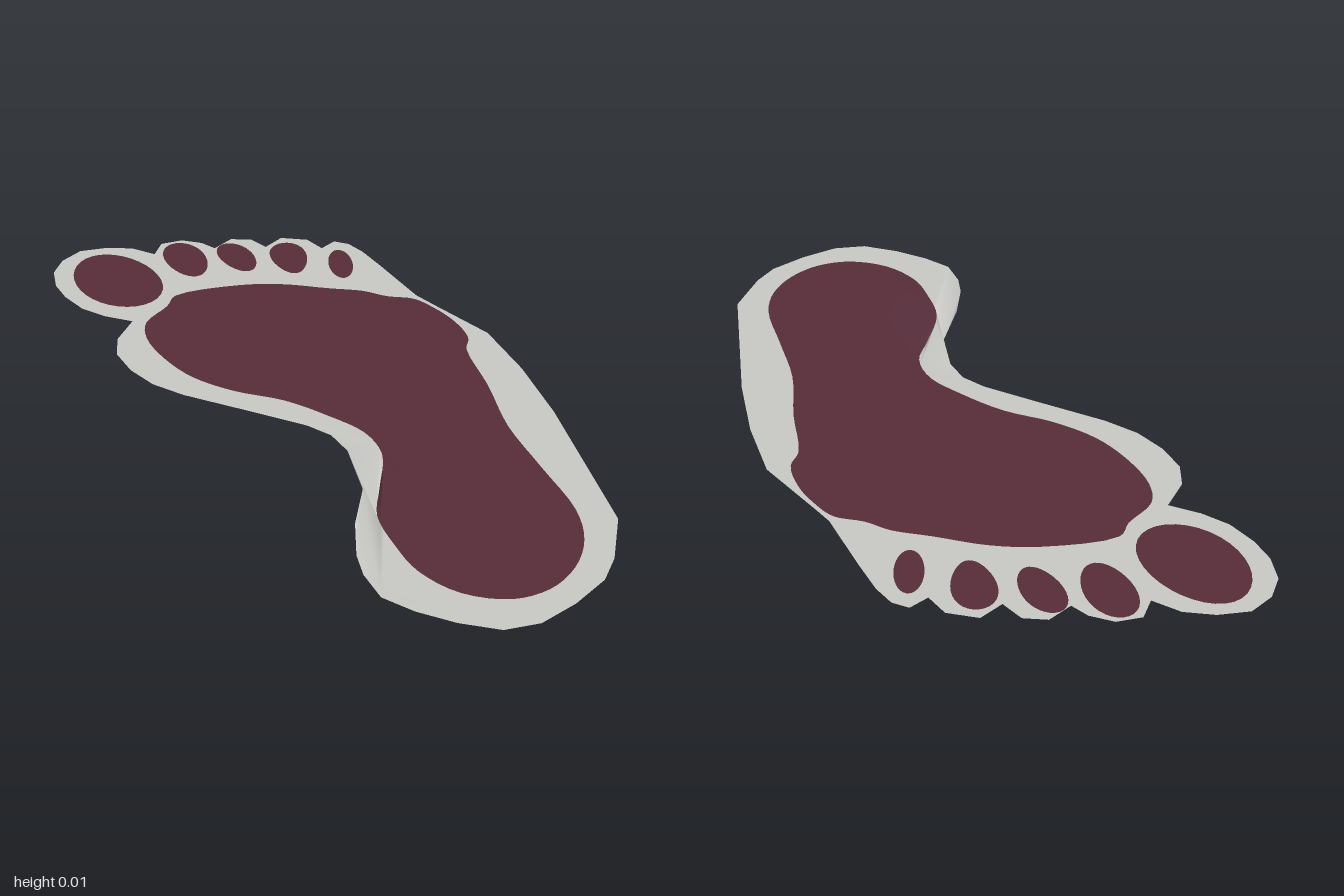
import * as THREE from 'three';

const LEVEL = 0.012; // height of the thin sheet

// Outer edge of the foot, [x, z], straight segments
const OUTLINE = [
  [-0.39, -1], [-0.47, -1], [-0.53, -0.955], [-0.566, -0.89], [-0.572, -0.81], [-0.556, -0.737],
  [-0.52, -0.658], [-0.466, -0.6], [-0.397, -0.552], [-0.455, -0.467], [-0.471, -0.387],
  [-0.45, -0.297], [-0.407, -0.212], [-0.339, -0.138], [-0.19, -0.016], [-0.063, 0.09],
  [-0.016, 0.149], [0.005, 0.228], [0, 0.382], [-0.063, 0.53], [-0.095, 0.652], [-0.1, 0.727],
  [-0.085, 0.817], [-0.026, 0.886], [0.053, 0.95], [0.143, 1], [0.233, 1], [0.333, 0.955],
  [0.429, 0.891], [0.481, 0.822], [0.55, 0.679], [0.572, 0.196], [0.566, -0.027], [0.54, -0.228],
  [0.444, -0.419], [0.413, -0.483], [0.365, -0.679], [0.339, -0.775], [0.312, -0.833],
  [0.275, -0.859], [0.228, -0.828], [0.2, -0.891], [0.127, -0.923], [0.069, -0.88],
  [0.037, -0.939], [-0.021, -0.955], [-0.08, -0.912], [-0.11, -0.955], [-0.164, -0.987],
  [-0.228, -0.981], [-0.26, -0.923], [-0.317, -0.976],
];

// Control points of the ball, arch and heel print, [x, z]
const SOLE = [
  [-0.25, -0.663], [-0.063, -0.674], [0.058, -0.647], [0.18, -0.589], [0.275, -0.546],
  [0.33, -0.5], [0.4, -0.465], [0.44, -0.4], [0.47, -0.32], [0.48, -0.22], [0.455, -0.16],
  [0.45, 0.027], [0.434, 0.228], [0.45, 0.424], [0.466, 0.62], [0.44, 0.737], [0.38, 0.83],
  [0.296, 0.89], [0.2, 0.902], [0.095, 0.85], [0.026, 0.748], [0.003, 0.637], [-0.003, 0.515],
  [0.042, 0.387], [0.085, 0.265], [0.07, 0.16], [0.005, 0.064], [-0.09, -0.042],
  [-0.206, -0.122], [-0.296, -0.217], [-0.35, -0.33], [-0.376, -0.45], [-0.36, -0.536],
  [-0.286, -0.61],
];

// Toe prints: centre x, z, half width, half length, lean, taper towards the sole
const TOES = [
  ['bigToePrint', -0.395, -0.797, 0.119, 0.165, 0.025, -0.05],
  ['secondToePrint', -0.177, -0.866, 0.06, 0.108, 0.008, 0.1],
  ['thirdToePrint', -0.028, -0.84, 0.05, 0.092, 0.012, 0.1],
  ['fourthToePrint', 0.12, -0.795, 0.053, 0.096, -0.004, 0.2],
  ['littleToePrint', 0.256, -0.72, 0.036, 0.085, -0.012, 0],
];

// Plan points use (x, -z), so the shape faces up once laid flat
const plan = (points) => points.map(([x, z]) => new THREE.Vector2(x, -z));

function smoothLoop(points, count) {
  const curve = new THREE.CatmullRomCurve3(
    points.map(([x, z]) => new THREE.Vector3(x, 0, z)), true, 'centripetal');
  return plan(curve.getPoints(count).slice(0, -1).map((p) => [p.x, p.z]));
}

function toeLoop([, cx, cz, w, l, lean, taper]) {
  const points = [];
  for (let i = 0; i < 32; i++) {
    const a = (i / 32) * Math.PI * 2;
    const s = Math.sin(a);
    points.push([cx + w * Math.cos(a) * (1 - taper * s) + lean * s, cz + l * s]);
  }
  return plan(points);
}

// Lay a shape flat and let the instep edge sag to the ground
function layFlat(shape) {
  const geometry = new THREE.ShapeGeometry(shape);
  geometry.rotateX(-Math.PI / 2);
  const pos = geometry.attributes.position;
  for (let i = 0; i < pos.count; i++) {
    const d = Math.hypot(pos.getX(i), pos.getZ(i) - 0.382);
    pos.setY(i, LEVEL * Math.min(1, d / 0.15));
  }
  geometry.computeVertexNormals();
  return geometry;
}

export function createModel() {
  const rim = new THREE.MeshStandardMaterial({ color: 0xcbccc7, side: THREE.DoubleSide });
  rim.name = 'pale grey rim';
  const print = new THREE.MeshStandardMaterial({ color: 0x582e3b, side: THREE.DoubleSide });
  print.name = 'dark maroon print';

  const group = new THREE.Group();
  group.name = 'footprint';
  const add = (name, shape, material) => {
    const mesh = new THREE.Mesh(layFlat(shape), material);
    mesh.name = name;
    group.add(mesh);
  };

  // Maroon prints
  const prints = [['solePrint', smoothLoop(SOLE, 136)], ...TOES.map((t) => [t[0], toeLoop(t)])];
  for (const [name, loop] of prints) add(name, new THREE.Shape(loop), print);

  // Pale rim around them, with matching openings
  const border = new THREE.Shape(plan(OUTLINE));
  border.holes = prints.map(([, loop]) => new THREE.Path(loop));
  add('footRim', border, rim);

  return group;
}
